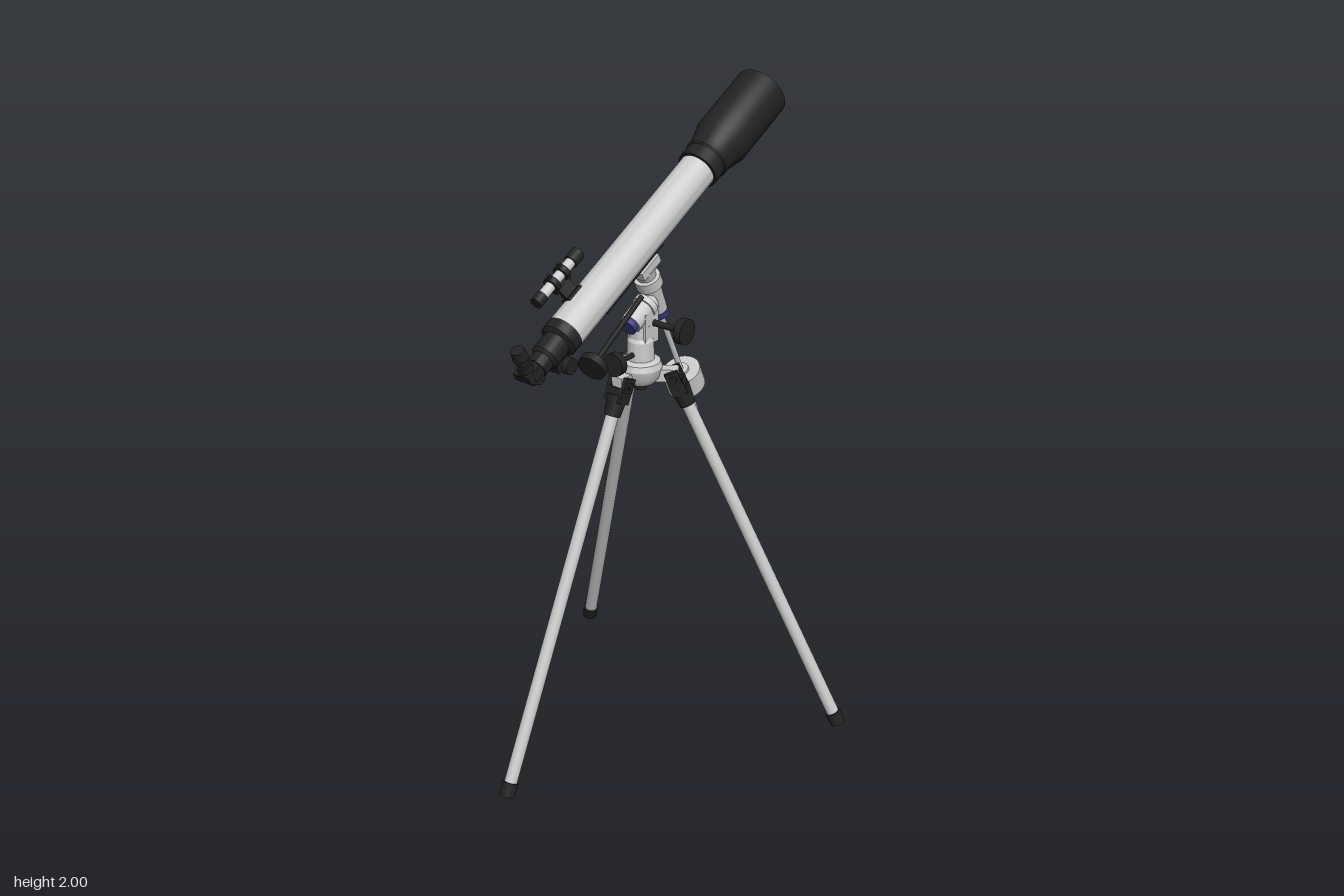
import * as THREE from 'three';
import { toCreasedNormals } from 'three/addons/utils/BufferGeometryUtils.js';

const mat = (color) => new THREE.MeshStandardMaterial({ color, side: THREE.DoubleSide });
const V = (x, y, z) => new THREE.Vector3(x, y, z);
const UP = V(0, 1, 0);

export function createModel() {
  const model = new THREE.Group();
  model.name = 'telescope';
  const grey = mat(0xcccccc), black = mat(0x222222), red = mat(0xd8654c), blue = mat(0x3a3a7c);

  const add = (parent, name, geometry, material, pos = V(0, 0, 0)) => {
    const m = new THREE.Mesh(geometry, material);
    m.name = name;
    m.position.copy(pos);
    parent.add(m);
    return m;
  };
  // Cylinder or cone between two points
  const rod = (parent, name, a, b, ra, material, rb = ra, sides = 32) => {
    const g = new THREE.CylinderGeometry(rb, ra, a.distanceTo(b), sides);
    const m = add(parent, name, g, material, a.clone().lerp(b, 0.5));
    m.quaternion.setFromUnitVectors(UP, b.clone().sub(a).normalize());
    return m;
  };
  // Turned part along y from [radius, y] pairs
  const turned = (parent, name, pts, material, pos) => add(parent, name, toCreasedNormals(
    new THREE.LatheGeometry(pts.map(([r, y]) => new THREE.Vector2(r, y)), 48), 0.5), material, pos);
  // Round hand knob with a hub, its face centred at p and stem running to q
  const knob = (parent, name, p, q, r, stem = 0.008) => {
    const dir = q.clone().sub(p).normalize();
    const at = (d) => p.clone().addScaledVector(dir, d);
    rod(parent, name, at(-0.012), at(0.012), r, black, r, 20);
    rod(parent, name + 'Hub', at(0.01), at(0.03), r * 0.55, black, r * 0.35, 20);
    rod(parent, name + 'Stem', p, q, stem, black, stem, 16);
  };

  // Tripod legs: top and foot of each
  const hub = V(-0.02, 1.2, 0);
  const legs = [
    ['frontLeg', V(-0.027, 1.19, 0.09), V(-0.055, 0, 0.632)],
    ['rightLeg', V(-0.1, 1.19, -0.065), V(-0.535, 0, -0.385)],
    ['leftLeg', V(0.068, 1.19, -0.055), V(0.53, 0, -0.32)],
  ];
  for (const [name, top, foot] of legs) {
    const leg = new THREE.Group();
    leg.name = name;
    leg.position.copy(top);
    // local -y runs down the leg, local x is tangential
    const down = foot.clone().sub(top), len = down.length() - 0.008;
    const y = down.clone().normalize().negate();
    const x = V(0, 1, 0).cross(V(foot.x - hub.x, 0, foot.z - hub.z)).normalize();
    const z = x.clone().cross(y).normalize();
    leg.quaternion.setFromRotationMatrix(new THREE.Matrix4().makeBasis(x, y, z));
    model.add(leg);
    rod(leg, 'legTube', V(0, -len + 0.03, 0), V(0, -0.04, 0), 0.02, grey);
    rod(leg, 'footCap', V(0, -len, 0), V(0, -len + 0.045, 0), 0.023, black, 0.025);
    rod(leg, 'legSocket', V(0, -0.095, 0), V(0, -0.03, 0), 0.025, black, 0.032);
    add(leg, 'clevis', new THREE.BoxGeometry(0.062, 0.045, 0.046), black, V(0, -0.03, 0));
    for (const s of [-1, 1])
      add(leg, 'clevisCheek', new THREE.BoxGeometry(0.014, 0.045, 0.042), black, V(s * 0.027, 0.005, 0));
    rod(leg, 'hingeBolt', V(-0.042, 0.005, 0), V(0.042, 0.005, 0), 0.011, black, 0.011, 12);
    // Arm from hub to hinge
    const arm = add(model, name + 'Arm', new THREE.BoxGeometry(0.038, 0.04, 0.1), grey,
      hub.clone().lerp(top, 0.62).setY(1.2));
    arm.rotation.y = Math.atan2(top.x - hub.x, top.z - hub.z);
  }

  // Tripod head and mount base
  turned(model, 'tripodHead', [[0, 1.175], [0.045, 1.175], [0.06, 1.195], [0.066, 1.225], [0.06, 1.243],
    [0.042, 1.25], [0.04, 1.31], [0.034, 1.32], [0.034, 1.36], [0, 1.36]], grey, V(-0.02, 0, 0));
  rod(model, 'centreBolt', V(-0.02, 1.15, 0), V(-0.02, 1.18, 0), 0.018, black);
  add(model, 'mountFork', new THREE.BoxGeometry(0.066, 0.1, 0.065), grey, V(-0.02, 1.35, -0.012));
  knob(model, 'altitudeKnob', V(-0.02, 1.272, 0.124), V(-0.02, 1.272, 0.03), 0.036);
  knob(model, 'sideKnob', V(0.122, 1.363, -0.024), V(-0.02, 1.363, -0.024), 0.04, 0.01);
  rod(model, 'pivotBolt', V(-0.066, 1.36, -0.018), V(-0.03, 1.36, -0.018), 0.024, grey);
  knob(model, 'slowMotionKnob', V(0.022, 1.336, 0.283), V(-0.005, 1.455, 0.015), 0.044);

  // Tilted assembly: local y along the optical axis, local z away from the mount
  const scope = new THREE.Group();
  scope.name = 'opticalAssembly';
  scope.position.set(-0.02, 1.45, 0.368);
  scope.rotation.x = -THREE.MathUtils.degToRad(64.4);
  model.add(scope);

  // Main tube, dew shield and lens
  turned(scope, 'mainTube', [[0, 0], [0.057, 0], [0.057, 0.75], [0, 0.75]], grey);
  turned(scope, 'dewShield', [[0.056, 0.72], [0.066, 0.72], [0.066, 0.765], [0.07, 0.77], [0.07, 0.795],
    [0.086, 0.855], [0.086, 1.086], [0.079, 1.086], [0.079, 1.06]], black);
  rod(scope, 'lens', V(0, 1.06, 0), V(0, 1.073, 0), 0.0795, red, 0.0795, 48);

  // Focuser
  turned(scope, 'focuser', [[0, -0.15], [0.026, -0.15], [0.026, -0.135], [0.034, -0.135], [0.034, -0.1],
    [0.043, -0.09], [0.043, -0.03], [0.057, -0.022], [0.0585, 0.012], [0.056, 0.012]], black);
  add(scope, 'focuserHousing', new THREE.BoxGeometry(0.044, 0.055, 0.05), black, V(0, -0.055, -0.045));
  rod(scope, 'focusShaft', V(-0.05, -0.055, -0.055), V(0.05, -0.055, -0.055), 0.008, black);
  for (const s of [-1, 1])
    rod(scope, 'focusKnob', V(s * 0.034, -0.055, -0.055), V(s * 0.054, -0.055, -0.055), 0.025, black);

  // Star diagonal and eyepiece
  rod(scope, 'diagonalBarrel', V(0, -0.175, 0), V(0, -0.13, 0), 0.03, black);
  const prism = new THREE.Shape([[-0.028, 0.03], [0.03, 0.03], [0.03, -0.03], [0.005, -0.03], [-0.028, 0.005]]
    .map(([a, b]) => new THREE.Vector2(a, b)));
  const body = add(scope, 'diagonalBody', new THREE.ExtrudeGeometry(prism, { depth: 0.056, bevelEnabled: false })
    .translate(0, 0, -0.028), black, V(0, -0.168, 0));
  body.quaternion.setFromRotationMatrix(new THREE.Matrix4().makeBasis(V(0, 1, 0), V(0, 0, 1), V(1, 0, 0)));
  rod(scope, 'eyepieceHolder', V(0, -0.17, 0.025), V(0, -0.17, 0.055), 0.023, black);
  rod(scope, 'eyepieceNeck', V(0, -0.17, 0.05), V(0, -0.17, 0.085), 0.017, black);
  rod(scope, 'eyepiece', V(0, -0.17, 0.078), V(0, -0.17, 0.11), 0.024, black, 0.02);

  // Finder scope on its bracket
  const finder = new THREE.Group();
  finder.name = 'finderScope';
  finder.position.set(-0.066, 0.1155, 0.1);
  scope.add(finder);
  rod(finder, 'finderTube', V(0, -0.1, 0), V(0, 0.1, 0), 0.016, grey);
  rod(finder, 'finderObjective', V(0, 0.068, 0), V(0, 0.108, 0), 0.021, black);
  rod(finder, 'finderEyepiece', V(0, -0.108, 0), V(0, -0.075, 0), 0.019, black);
  for (const s of [-0.025, 0.025]) {
    rod(finder, 'finderRing', V(0, s - 0.009, 0), V(0, s + 0.009, 0), 0.025, black);
    rod(finder, 'ringScrew', V(0, s, 0.02), V(0, s, 0.036), 0.006, black, 0.006, 10);
  }
  add(finder, 'bracketBar', new THREE.BoxGeometry(0.016, 0.07, 0.012), black, V(0.008, 0, -0.024));
  const stem = add(finder, 'bracketStem', new THREE.BoxGeometry(0.014, 0.05, 0.06), black, V(0.022, 0, -0.04));
  stem.rotation.y = -0.6;
  const foot = add(finder, 'bracketFoot', new THREE.BoxGeometry(0.04, 0.06, 0.008), black, V(0.035, 0, -0.053));
  foot.rotation.y = -0.6;

  // Mounting rail and saddle
  add(scope, 'mountingRail', new THREE.BoxGeometry(0.042, 0.3, 0.02), black, V(0, 0.318, -0.061));
  add(scope, 'saddle', new THREE.BoxGeometry(0.06, 0.09, 0.028), grey, V(0, 0.385, -0.084));
  rod(scope, 'saddleClamp', V(0, 0.437, -0.078), V(0, 0.415, -0.078), 0.012, black);

  // Declination axis, counterweight shaft and weight
  const dec = (name, a, b, r, m, r2) => rod(scope, name, V(0, 0.381, a), V(0, 0.381, b), r, m, r2);
  dec('declinationHead', -0.095, -0.13, 0.034, grey, 0.028);
  dec('declinationCollar', -0.125, -0.16, 0.041, grey);
  dec('declinationHousing', -0.155, -0.262, 0.032, grey, 0.027);
  dec('declinationRing', -0.262, -0.283, 0.029, blue);
  dec('counterweightShaft', -0.28, -0.71, 0.009, grey);
  dec('counterweight', -0.533, -0.6, 0.06, grey);
  dec('counterweightCollar', -0.525, -0.535, 0.025, grey);
  rod(scope, 'weightScrew', V(0, 0.43, -0.56), V(0, 0.452, -0.56), 0.009, black);

  // Polar axis
  const polar = (name, a, b, r, m) => rod(scope, name, V(0, a, -0.205), V(0, b, -0.205), r, m);
  polar('polarCap', 0.238, 0.258, 0.027, blue);
  polar('polarHousing', 0.256, 0.36, 0.033, grey);
  polar('polarRing', 0.325, 0.345, 0.039, grey);
  return model;
}
